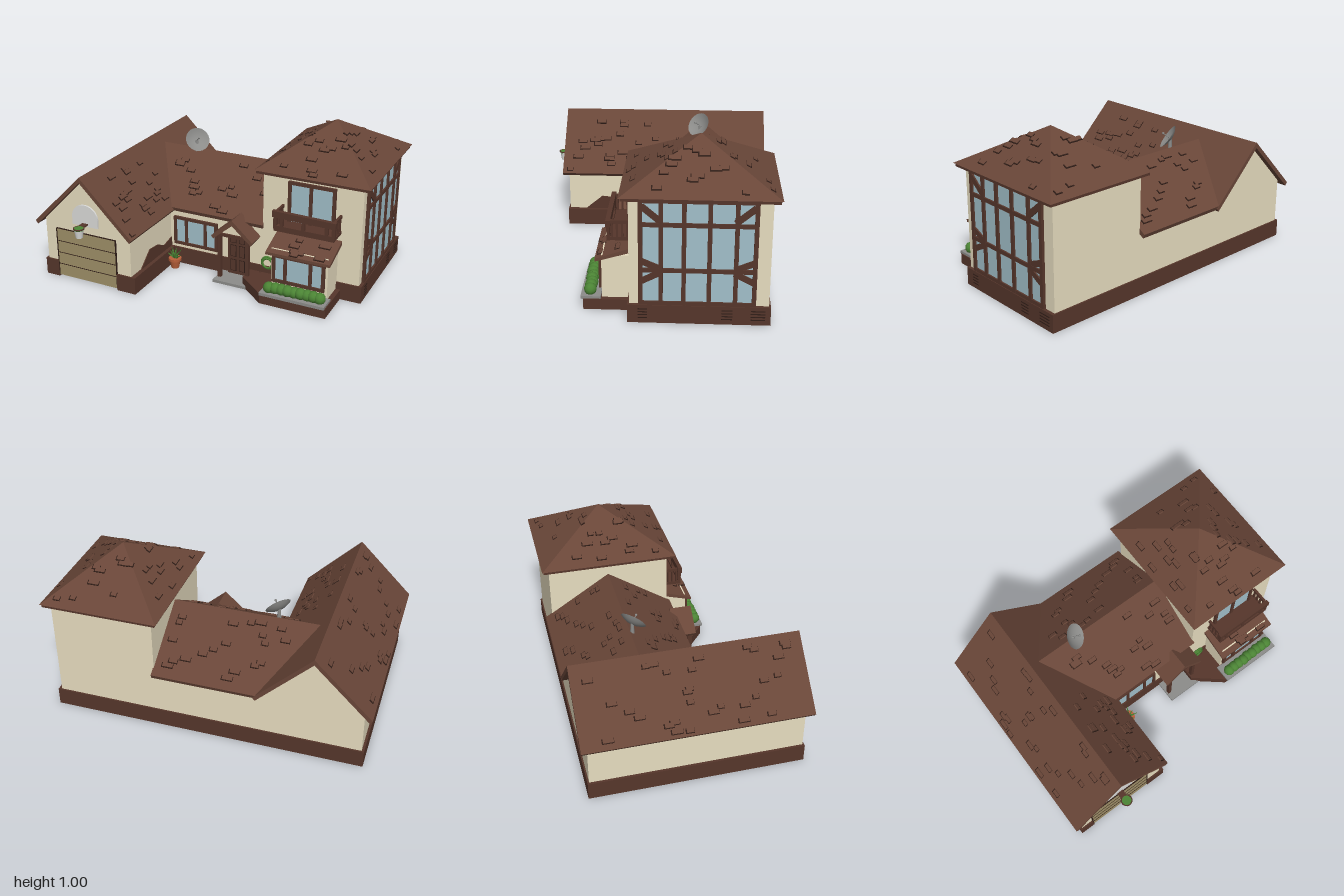
import * as THREE from 'three';
import { mergeGeometries } from 'three/addons/utils/BufferGeometryUtils.js';

const mat = (name, color, side = THREE.FrontSide) => new THREE.MeshStandardMaterial({ name, color, side });
const cream = mat('cream plaster', 0xebe1c3), roofBrown = mat('roof brown', 0x694638);
const trim = mat('trim brown', 0x56362b), dark = mat('dark line', 0x2f1d17);
const glass = mat('window glass', 0xa2c0ca), tan = mat('garage door tan', 0x9f9068);
const green = mat('leaf green', 0x4c8535, THREE.DoubleSide), clay = mat('clay', 0xb9603a);
const grey = mat('metal grey', 0x8c8c8a, THREE.DoubleSide), white = mat('off white', 0xdcdcda, THREE.DoubleSide);

const V = (x, y, z) => new THREE.Vector3(x, y, z);

function add(parent, name, geo, material) {
  const m = new THREE.Mesh(geo, material);
  m.name = name;
  parent.add(m);
  return m;
}
function box(p, name, m, x0, x1, y0, y1, z0, z1) {
  const g = new THREE.BoxGeometry(x1 - x0, y1 - y0, z1 - z0);
  return add(p, name, g.translate((x0 + x1) / 2, (y0 + y1) / 2, (z0 + z1) / 2), m);
}
function extrude(pts, depth) {
  const s = new THREE.Shape(pts.map(([a, b]) => new THREE.Vector2(a, b)));
  return new THREE.ExtrudeGeometry(s, { depth, bevelEnabled: false });
}
// profile in (x, y) pushed along z, in (z, y) along x, and in (x, z) along y
const prismZ = (pts, z0, z1) => extrude(pts, z1 - z0).translate(0, 0, z0);
const prismX = (pts, x0, x1) => extrude(pts.map(([z, y]) => [-z, y]), x1 - x0).rotateY(Math.PI / 2).translate(x0, 0, 0);
const prismY = (pts, y0, y1) => extrude(pts.map(([x, z]) => [x, -z]), y1 - y0).rotateX(-Math.PI / 2).translate(0, y0, 0);

// straight bar in the xy plane between two points
function bar(p, name, m, x0, y0, x1, y1, w, z, d) {
  const g = new THREE.BoxGeometry(Math.hypot(x1 - x0, y1 - y0), w, d);
  g.rotateZ(Math.atan2(y1 - y0, x1 - x0)).translate((x0 + x1) / 2, (y0 + y1) / 2, z);
  return add(p, name, g, m);
}
function group(p, name, x = 0, y = 0, z = 0) {
  const g = new THREE.Group();
  g.name = name;
  g.position.set(x, y, z);
  p.add(g);
  return g;
}
// framed window facing +z, with bars at the given columns and rows
function windowUnit(p, name, z, xs, ys, w) {
  const g = group(p, name, 0, 0, z);
  const [x0, x1, y0, y1] = [xs[0], xs.at(-1), ys[0], ys.at(-1)];
  box(g, 'glass', glass, x0, x1, y0, y1, 0, 0.006);
  xs.forEach(x => bar(g, 'upright', trim, x, y0 - w / 2, x, y1 + w / 2, w, 0.008, 0.018));
  ys.forEach(y => bar(g, 'crossbar', trim, x0, y, x1, y, w, 0.008, 0.016));
  return g;
}
let seed = 11;
const rnd = () => (seed = (seed * 16807) % 2147483647) / 2147483647;

// scattered raised shingles with dark edges on the slope A-B (eave) to D-C (top)
function shingles(p, A, B, C, D, count) {
  const u = B.clone().sub(A).normalize();
  const n = u.clone().cross(D.clone().sub(A)).normalize();
  const basis = new THREE.Matrix4().makeBasis(u, n.clone().cross(u), n);
  const under = [], over = [];
  for (let i = 0; i < count; i++) {
    const t = 0.06 + 0.84 * rnd(), s = 0.07 + 0.86 * rnd(), w = 0.04 + 0.035 * rnd();
    const a = A.clone().lerp(D, t), b = B.clone().lerp(C, t);
    if (a.distanceTo(b) < 0.16) continue;
    basis.setPosition(a.lerp(b, s));
    under.push(new THREE.BoxGeometry(w, 0.03, 0.008).applyMatrix4(basis));
    over.push(new THREE.BoxGeometry(w - 0.008, 0.025, 0.012).translate(0.002, 0.003, 0).applyMatrix4(basis));
  }
  add(p, 'shingleEdges', mergeGeometries(under), dark);
  add(p, 'shingles', mergeGeometries(over), roofBrown);
}
// row or clump of leafy lumps
function bush(p, x0, x1, y, z, r, n) {
  for (let i = 0; i < n; i++) {
    const m = add(p, 'bush', new THREE.IcosahedronGeometry(r, 1), green);
    m.position.set(x0 + (x1 - x0) * (n > 1 ? i / (n - 1) : 0.5), y + 0.008 * rnd(), z + 0.01 * (rnd() - 0.5));
    m.rotation.set(rnd() * 3, rnd() * 3, 0);
  }
}

export function createModel() {
  const house = new THREE.Group();
  house.name = 'house';

  // plinth with a notch for the garage door, and the planter footing
  add(house, 'plinth', prismY([[-0.965, -0.68], [0.96, -0.68], [0.96, 0.11], [-0.31, 0.11], [-0.31, 0.61],
    [-0.44, 0.61], [-0.44, 0.58], [-0.87, 0.58], [-0.87, 0.61], [-0.965, 0.61]], 0, 0.11), trim);
  add(house, 'planterFooting', prismY([[0.23, 0.1], [0.83, 0.1], [0.83, 0.37], [0.41, 0.37], [0.23, 0.22]], 0, 0.065), trim);

  // walls
  add(house, 'garageWalls', prismZ([[-0.95, 0.02], [-0.34, 0.02], [-0.34, 0.385], [-0.655, 0.695], [-0.95, 0.395]], -0.67, 0.6), cream);
  box(house, 'middleWalls', cream, -0.36, 0.33, 0.1, 0.385, -0.67, 0.1);
  box(house, 'towerWalls', cream, 0.31, 0.94, 0.1, 0.745, -0.67, 0.1);
  box(house, 'bayWalls', cream, 0.44, 0.8, 0.06, 0.33, 0.09, 0.265);
  add(house, 'brickPatch', prismX([[0.5, 0.1], [0.44, 0.15], [0.38, 0.2], [0.28, 0.19], [0.2, 0.15], [0.1, 0.17], [0.1, 0.1]], -0.342, -0.334), trim);

  // garage roof
  const roofs = group(house, 'roofs');
  add(roofs, 'garageRoof', prismZ([[-1, 0.375], [-0.655, 0.72], [-0.305, 0.375], [-0.32, 0.355], [-0.655, 0.685], [-0.985, 0.355]], -0.71, 0.64), roofBrown);
  shingles(roofs, V(-1, 0.375, -0.71), V(-1, 0.375, 0.64), V(-0.655, 0.72, 0.64), V(-0.655, 0.72, -0.71), 30);
  shingles(roofs, V(-0.305, 0.375, 0.64), V(-0.305, 0.375, 0.12), V(-0.655, 0.72, -0.25), V(-0.655, 0.72, 0.64), 24);

  // middle roof, its left end cut to follow the garage slope
  const mid = prismX([[0.12, 0.39], [-0.29, 0.66], [-0.71, 0.39], [-0.7, 0.365], [-0.29, 0.625], [0.11, 0.365]], -0.6, 0.315);
  const pos = mid.attributes.position;
  for (let i = 0; i < pos.count; i++) if (pos.getX(i) < 0) pos.setX(i, -0.665 + (0.72 - pos.getY(i)));
  mid.computeVertexNormals();
  add(roofs, 'middleRoof', mid, roofBrown);
  shingles(roofs, V(-0.3, 0.39, 0.12), V(0.3, 0.39, 0.12), V(0.3, 0.66, -0.29), V(-0.55, 0.66, -0.29), 18);
  shingles(roofs, V(0.3, 0.39, -0.71), V(-0.3, 0.39, -0.71), V(-0.55, 0.66, -0.29), V(0.3, 0.66, -0.29), 20);

  // tower roof
  const [x0, x1, z0, z1] = [0.265, 0.99, -0.715, 0.15];
  box(roofs, 'towerEaves', trim, x0 + 0.01, x1 - 0.01, 0.735, 0.756, z0 + 0.01, z1 - 0.01);
  const cone = new THREE.CylinderGeometry(0, Math.SQRT1_2, 1, 4, 1).toNonIndexed().rotateY(Math.PI / 4);
  cone.scale(x1 - x0, 0.245, z1 - z0).translate((x0 + x1) / 2, 0.8775, (z0 + z1) / 2);
  cone.computeVertexNormals();
  add(roofs, 'towerRoof', cone, roofBrown);
  const c = [V(x0, 0.755, z1), V(x1, 0.755, z1), V(x1, 0.755, z0), V(x0, 0.755, z0)], top = V(0.628, 1, -0.2825);
  c.forEach((a, i) => shingles(roofs, a, c[(i + 1) % 4], top, top, 13));

  // garage door
  const door = group(house, 'garageDoor');
  box(door, 'panel', tan, -0.87, -0.44, 0.01, 0.335, 0.575, 0.606);
  [0.09, 0.17, 0.25, 0.335].forEach(y => box(door, 'seam', dark, -0.87, -0.44, y - 0.002, y + 0.002, 0.6, 0.608));
  [-0.87, -0.44].forEach(x => box(door, 'jamb', dark, x - 0.003, x + 0.003, 0.01, 0.335, 0.598, 0.609));

  // basketball board, basket and the plant in it
  const hoop = group(house, 'basketballHoop', -0.65, 0, 0.6);
  const board = new THREE.Shape().moveTo(-0.092, 0.39).lineTo(0.092, 0.39).lineTo(0.092, 0.445);
  board.absellipse(0, 0.445, 0.092, 0.085, 0, Math.PI);
  add(hoop, 'backboard', new THREE.ExtrudeGeometry(board, { depth: 0.01, bevelEnabled: false }), white);
  add(hoop, 'basket', new THREE.CylinderGeometry(0.031, 0.022, 0.06, 14, 1, true).translate(0, 0.375, 0.077), white);
  add(hoop, 'rim', new THREE.TorusGeometry(0.032, 0.004, 6, 18).rotateX(Math.PI / 2).translate(0, 0.405, 0.077), trim);
  add(hoop, 'basketPlant', new THREE.CylinderGeometry(0.03, 0.03, 0.012, 14).translate(0, 0.401, 0.077), green);
  box(hoop, 'bracket', trim, -0.02, 0.02, 0.4, 0.41, 0, 0.047);

  // front windows
  windowUnit(house, 'livingRoomWindow', 0.1, [-0.3, -0.22, -0.085, -0.008], [0.145, 0.32], 0.018);
  windowUnit(house, 'bayWindow', 0.265, [0.46, 0.535, 0.695, 0.775], [0.125, 0.29], 0.02);
  windowUnit(house, 'balconyWindow', 0.1, [0.485, 0.62, 0.765], [0.44, 0.7], 0.02);

  // large timber-framed window on the right side
  const side = group(house, 'sideWindowWall', 0.94);
  side.rotation.y = Math.PI / 2;
  const big = windowUnit(side, 'sideWindow', 0, [-0.035, 0.075, 0.2, 0.338, 0.482, 0.585], [0.12, 0.322, 0.592, 0.73], 0.024);
  [[-0.03, 0.7, 0.075, 0.61], [-0.03, 0.375, 0.075, 0.33], [-0.03, 0.255, 0.075, 0.31]].forEach(([a, b, d, e]) => {
    bar(big, 'brace', trim, a, b, d, e, 0.035, 0.008, 0.014);
    bar(big, 'brace', trim, 0.55 - a, b, 0.55 - d, e, 0.035, 0.008, 0.014);
  });
  [[-0.05, 0.0], [0.41, 0.47], [0.57, 0.65]].forEach(([a, b]) => {
    for (let y = 0.03; y < 0.1; y += 0.018) box(side, 'vent', dark, a, b, y, y + 0.005, 0.018, 0.023);
  });

  // bay roof and planter
  add(roofs, 'bayRoof', prismX([[0.09, 0.36], [0.3, 0.298], [0.3, 0.315], [0.09, 0.388]], 0.415, 0.822), roofBrown);
  shingles(roofs, V(0.415, 0.315, 0.3), V(0.822, 0.315, 0.3), V(0.822, 0.388, 0.09), V(0.415, 0.388, 0.09), 7);
  box(house, 'planterLedge', grey, 0.412, 0.825, 0.062, 0.08, 0.27, 0.385);
  bush(house, 0.46, 0.78, 0.1, 0.335, 0.037, 9);

  // balcony
  const balcony = group(house, 'balcony');
  box(balcony, 'floor', trim, 0.435, 0.815, 0.43, 0.45, 0.1, 0.225);
  box(balcony, 'lowerRail', trim, 0.435, 0.815, 0.428, 0.463, 0.21, 0.23);
  bar(balcony, 'topRail', trim, 0.425, 0.537, 0.822, 0.53, 0.04, 0.222, 0.026);
  [0.442, 0.483, 0.62, 0.765, 0.808].forEach(x => box(balcony, 'post', trim, x - 0.01, x + 0.01, 0.44, 0.54, 0.212, 0.23));
  [0.435, 0.8].forEach(x => {
    box(balcony, 'sideRail', trim, x, x + 0.015, 0.53, 0.55, 0.1, 0.23);
    for (let i = 0; i < 4; i++) box(balcony, 'slat', trim, x + 0.002, x + 0.013, 0.44, 0.54, 0.11 + i * 0.028, 0.122 + i * 0.028);
  });

  // porch and front door
  const porch = group(house, 'porch');
  box(porch, 'step', grey, 0.04, 0.265, 0, 0.018, 0.1, 0.255);
  box(porch, 'frontDoor', trim, 0.085, 0.22, 0.018, 0.32, 0.09, 0.125);
  [[0.103, 0.143], [0.162, 0.202]].forEach(([a, b]) => [[0.04, 0.12], [0.14, 0.22], [0.235, 0.29]].forEach(([d, e]) => {
    box(porch, 'panelLine', dark, a, b, d, e, 0.12, 0.127);
    box(porch, 'panel', trim, a + 0.004, b - 0.004, d + 0.004, e - 0.004, 0.12, 0.129);
  }));
  add(porch, 'gable', prismZ([[0.06, 0.31], [0.25, 0.31], [0.155, 0.4]], 0.09, 0.195), cream);
  [0.06, 0.25].forEach(x => {
    box(porch, 'post', trim, x - 0.011, x + 0.011, 0.018, 0.32, 0.18, 0.205);
    box(porch, 'sideBeam', trim, x - 0.01, x + 0.01, 0.3, 0.325, 0.1, 0.205);
  });
  box(porch, 'frontBeam', trim, 0.05, 0.26, 0.305, 0.325, 0.185, 0.207);
  add(porch, 'porchRoof', prismZ([[0.015, 0.305], [0.155, 0.43], [0.295, 0.305], [0.283, 0.285], [0.155, 0.395], [0.027, 0.285]], 0.08, 0.222), roofBrown);

  // garden hose on the wall
  const hose = group(house, 'gardenHose', 0.355, 0, 0.118);
  [0.04, 0.032].forEach((r, i) => add(hose, 'coil', new THREE.TorusGeometry(r, 0.007, 6, 20).translate(0, 0.142, i * 0.008), green));
  const drop = new THREE.CatmullRomCurve3([V(0.035, 0.15, 0), V(0.036, 0.07, 0.004), V(0, 0.022, 0.006), V(-0.045, 0.04, 0.004), V(-0.05, 0.07, 0)]);
  add(hose, 'tail', new THREE.TubeGeometry(drop, 20, 0.006, 6), trim);

  // potted plant
  const pot = group(house, 'pottedPlant', -0.27, 0, 0.18);
  add(pot, 'pot', new THREE.CylinderGeometry(0.036, 0.026, 0.055, 14).translate(0, 0.0275, 0), clay);
  add(pot, 'potRim', new THREE.CylinderGeometry(0.042, 0.042, 0.016, 14).translate(0, 0.06, 0), clay);
  for (let i = 0; i < 11; i++) {
    const leaf = add(pot, 'leaf', new THREE.ConeGeometry(0.009, 0.08, 4).translate(0, 0.04, 0), green);
    leaf.position.y = 0.062;
    leaf.rotation.set(0, i * 2.4, 0.2 + 0.085 * i, 'YXZ');
  }

  // satellite dish
  const dish = group(house, 'satelliteDish', -0.335, 0.72, -0.27);
  const bowl = [0, 0.2, 0.4, 0.6, 0.8, 1].map(t => new THREE.Vector2(0.08 * t, 0.026 * t * t - 0.016));
  const head = group(dish, 'dishHead');
  head.quaternion.setFromUnitVectors(V(0, 1, 0), V(1, 1, 1).normalize());
  add(head, 'bowl', new THREE.LatheGeometry(bowl, 24), grey);
  add(head, 'feedArm', new THREE.CylinderGeometry(0.003, 0.003, 0.06, 6).translate(0, 0.015, 0), grey);
  add(head, 'feedHorn', new THREE.SphereGeometry(0.008, 8, 6).translate(0, 0.045, 0), grey);
  add(dish, 'mast', new THREE.CylinderGeometry(0.01, 0.014, 0.08, 8).translate(-0.005, -0.045, -0.005), grey);

  return house;
}
